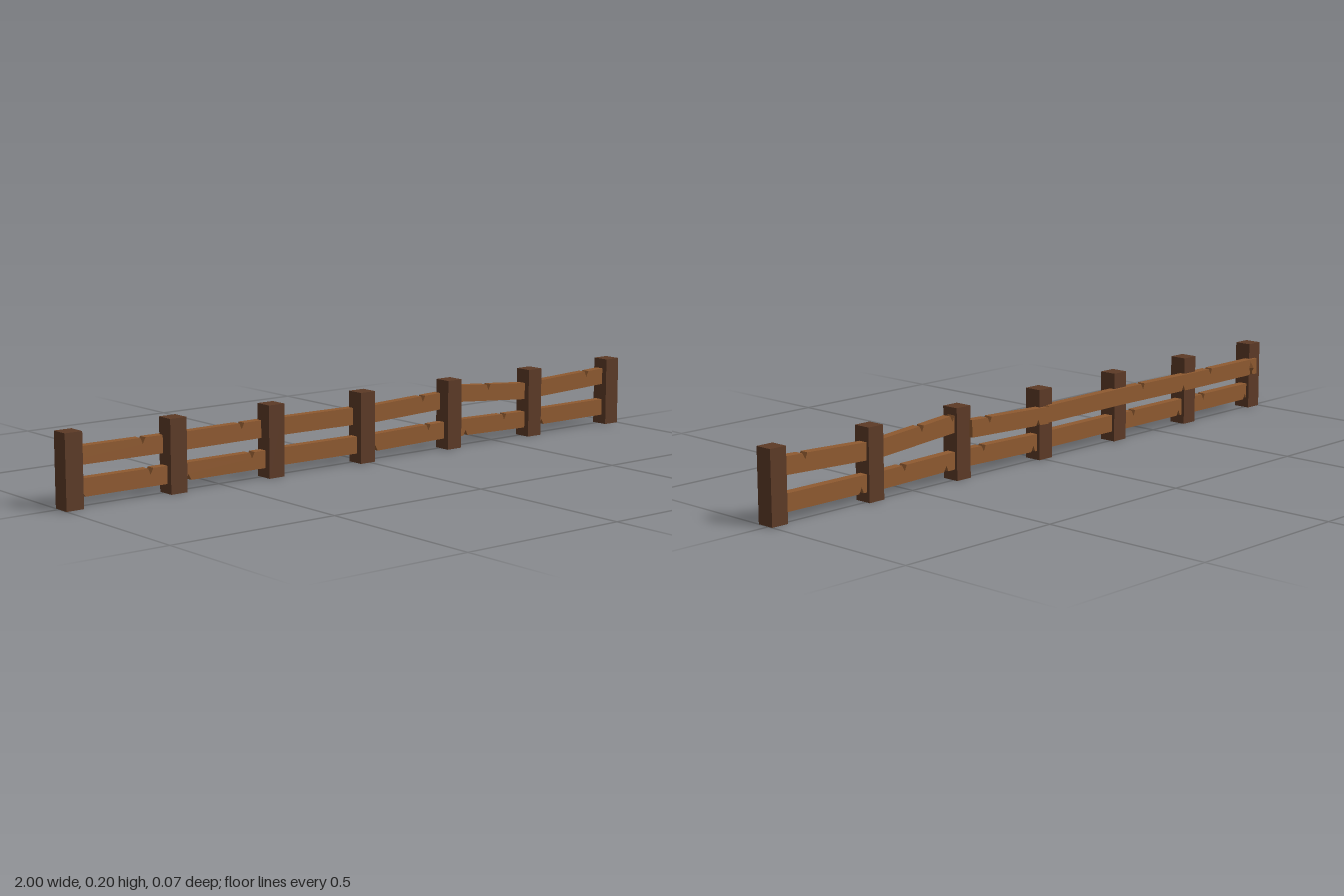
import * as THREE from 'three';

const postMat = new THREE.MeshStandardMaterial({ color: 0x5c3a26, flatShading: true });
const railMat = new THREE.MeshStandardMaterial({ color: 0x8f5a30, flatShading: true });

// Plank running from (x0, y0) to (x1, y1), y at mid height, with V notches [x, edge] (edge 1 = top, -1 = bottom)
function plank(name, x0, y0, x1, y1, zBack, notches, height = 0.049, depth = 0.026) {
  const h = height / 2;
  const mid = (x) => y0 + ((y1 - y0) * (x - x0)) / (x1 - x0);
  const edge = (side) => {
    const pts = [[x0, mid(x0) + side * h]];
    for (const [x] of notches.filter((n) => n[1] === side).sort((a, b) => a[0] - b[0])) {
      pts.push([x - 0.009, mid(x) + side * h], [x - 0.002, mid(x) + side * (h - 0.017)], [x + 0.007, mid(x) + side * h]);
    }
    pts.push([x1, mid(x1) + side * h]);
    return pts;
  };
  const outline = [...edge(-1), ...edge(1).reverse()].map(([x, y]) => new THREE.Vector2(x, y));
  const geo = new THREE.ExtrudeGeometry(new THREE.Shape(outline), { depth, bevelEnabled: false });
  const mesh = new THREE.Mesh(geo, railMat);
  mesh.position.z = zBack;
  mesh.name = name;
  return mesh;
}

export function createModel() {
  const fence = new THREE.Group();
  fence.name = 'fence';

  // Square posts
  const postX = [-0.974, -0.653, -0.33, -0.008, 0.32, 0.643, 0.974];
  const postGeo = new THREE.BoxGeometry(0.052, 0.203, 0.052);
  for (const x of postX) {
    const post = new THREE.Mesh(postGeo, postMat);
    post.position.set(x, 0.1015, 0.011);
    post.name = 'post';
    fence.add(post);
  }

  // Upper rails: [start y, end y, notches]; the first four are nailed behind the posts
  const upper = [
    [0.132, 0.131, [[-0.74, 1], [-0.945, -1]]],
    [0.131, 0.133, [[-0.61, -1], [-0.42, 1]]],
    [0.133, 0.131, []],
    [0.128, 0.139, [[0.035, -1], [0.23, 1]]],
    [0.16, 0.135, [[0.355, 1], [0.47, 1]]],
    [0.137, 0.15, [[0.88, 1]]],
  ];
  upper.forEach(([ya, yb, notches], i) => {
    const behind = i < 4;
    const end = i === 3 ? 0.297 : postX[i + 1];
    fence.add(plank('upperRail', postX[i], ya, end, yb, behind ? -0.025 : -0.006, notches));
  });

  // Lower rails
  const lower = [
    [0.052, 0.051, [[-0.94, -1], [-0.73, 1]]],
    [0.052, 0.052, [[-0.61, -1], [-0.4, 1]]],
    [0.053, 0.052, []],
    [0.05, 0.056, [[0.035, -1], [0.235, 1]]],
    [0.056, 0.05, [[0.38, -1], [0.535, 1]]],
    [0.052, 0.052, [[0.69, -1]]],
  ];
  lower.forEach(([ya, yb, notches], i) => {
    fence.add(plank('lowerRail', postX[i], ya, postX[i + 1], yb, -0.006, notches));
  });

  // Splinter standing out from the back of the first upper rail
  const splinter = new THREE.Mesh(new THREE.ConeGeometry(0.024, 0.014, 4), railMat);
  splinter.rotation.x = -Math.PI / 2;
  splinter.scale.x = 0.3;
  splinter.position.set(-0.943, 0.13, -0.03);
  splinter.name = 'splinter';
  fence.add(splinter);

  return fence;
}
